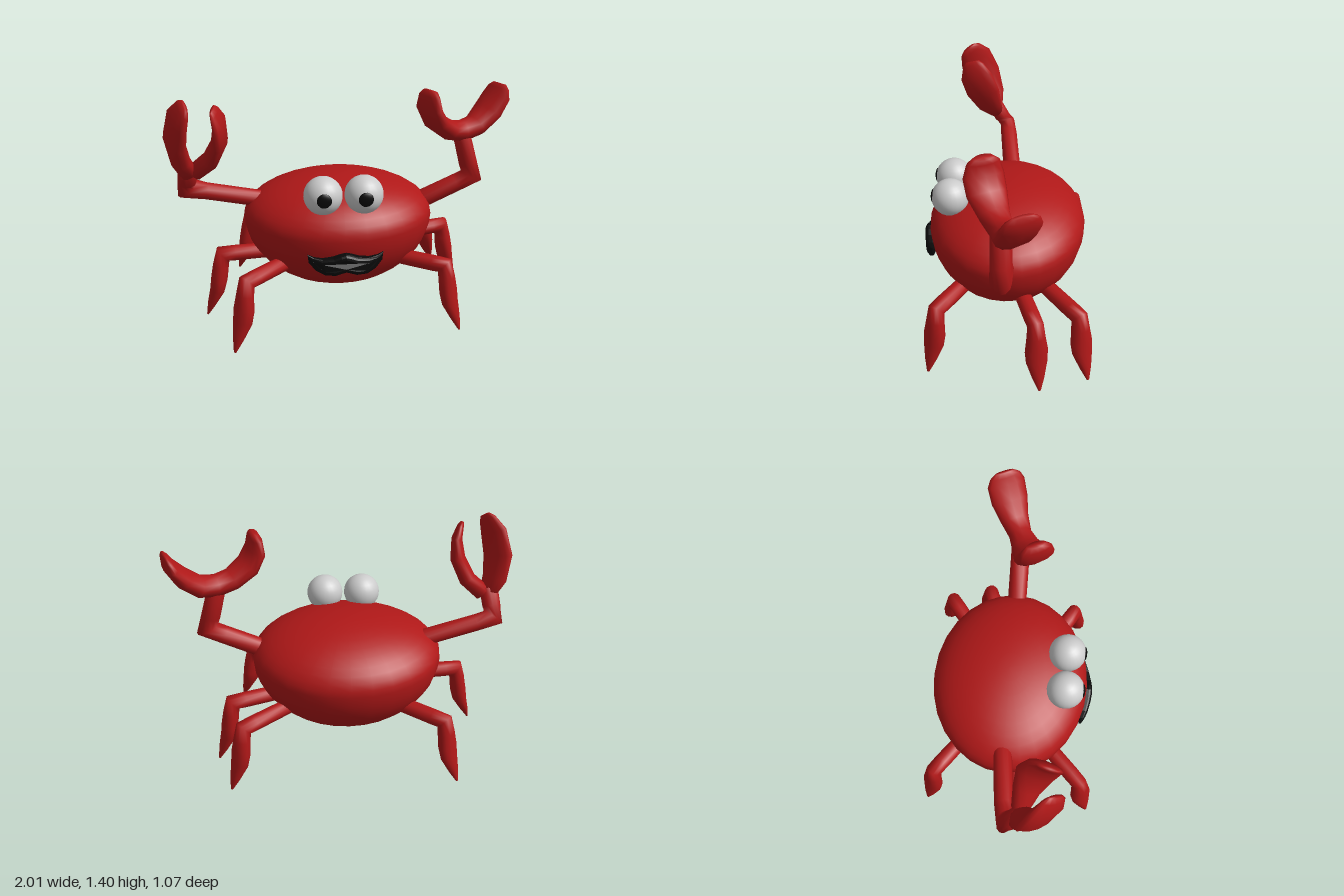
import * as THREE from 'three';
import { mergeVertices } from 'three/addons/utils/BufferGeometryUtils.js';

const mat = (color) => new THREE.MeshStandardMaterial({ color });

// Skin elliptical rings [x, y, z, a, b]; b runs along the side axis, a across it.
function loft(rings, side, n = 12) {
  const P = rings.map((r) => new THREE.Vector3(r[0], r[1], r[2]));
  const pos = [], idx = [], last = P.length - 1;
  P.forEach((p, i) => {
    const t = new THREE.Vector3();
    if (i > 0) t.add(p.clone().sub(P[i - 1]).normalize());
    if (i < last) t.add(P[i + 1].clone().sub(p).normalize());
    t.normalize();
    const v = side.clone().addScaledVector(t, -side.dot(t)).normalize();
    const u = v.clone().cross(t);
    for (let j = 0; j < n; j++) {
      const k = (j / n) * Math.PI * 2;
      const q = p.clone().addScaledVector(u, rings[i][3] * Math.cos(k)).addScaledVector(v, rings[i][4] * Math.sin(k));
      pos.push(q.x, q.y, q.z);
    }
  });
  pos.push(...P[0].toArray(), ...P[last].toArray());
  const c0 = P.length * n;
  for (let j = 0; j < n; j++) {
    const k = (j + 1) % n;
    for (let i = 0; i < last; i++) {
      const a = i * n + j, b = i * n + k;
      idx.push(a, b, a + n, b, b + n, a + n);
    }
    idx.push(c0, k, j, c0 + 1, last * n + j, last * n + k);
  }
  const g = new THREE.BufferGeometry();
  g.setAttribute('position', new THREE.Float32BufferAttribute(pos, 3));
  g.setIndex(idx);
  g.computeVertexNormals();
  return g;
}

export function createModel() {
  const model = new THREE.Group();
  model.name = 'crab';
  const red = mat(0xb01818), white = mat(0xcccccc), black = mat(0x0a0a0a);
  const add = (name, geometry, material) => {
    const m = new THREE.Mesh(geometry, material);
    m.name = name;
    model.add(m);
    return m;
  };
  const V = (x, y, z) => new THREE.Vector3(x, y, z);

  // Body: ball with a shallow dome above and a deep belly below
  let body = new THREE.SphereGeometry(1, 28, 20);
  body.deleteAttribute('uv');
  body.deleteAttribute('normal');
  const bp = body.attributes.position;
  for (let i = 0; i < bp.count; i++) {
    const y = bp.getY(i);
    bp.setXYZ(i, bp.getX(i) * 0.567 - 0.022, 0.62 + y * (y > 0 ? 0.24 : 0.44), bp.getZ(i) * 0.47 - 0.02);
  }
  body = mergeVertices(body, 1e-4);
  body.computeVertexNormals();
  add('body', body, red);

  // Eyes and pupils
  for (const [side, x] of [['right', -0.135], ['left', 0.095]]) {
    add(side + 'Eye', new THREE.SphereGeometry(0.11, 24, 16), white).position.set(x, 0.853, 0.31);
    const pupil = add(side + 'Pupil', new THREE.SphereGeometry(0.043, 20, 12), black);
    pupil.position.set(x, 0.858, 0.407);
    pupil.scale.z = 0.38;
  }

  // Moustache: half outline mirrored, thinning to the ends
  const half = [[0, 0.56], [0.03, 0.552], [0.07, 0.535], [0.13, 0.525], [0.18, 0.532], [0.213, 0.547],
    [0.208, 0.5], [0.17, 0.455], [0.12, 0.43], [0.06, 0.43], [0, 0.45]];
  const outline = [...half, ...half.slice(1, -1).reverse().map(([x, y]) => [-x, y])];
  const moustache = new THREE.ExtrudeGeometry(new THREE.Shape(outline.map(([x, y]) => new THREE.Vector2(x, y))),
    { depth: 0.6, bevelEnabled: true, bevelThickness: 0.4, bevelSize: 0.025, bevelOffset: -0.025, bevelSegments: 3 });
  const mp = moustache.attributes.position;
  for (let i = 0; i < mp.count; i++) {
    const x = mp.getX(i);
    const f = THREE.MathUtils.clamp((mp.getZ(i) + 0.4) / 1.4, 0, 1);
    mp.setXYZ(i, x - 0.02, mp.getY(i), 0.415 + f * 0.075 * (1 - 0.8 * (x / 0.215) ** 2));
  }
  moustache.computeVertexNormals();
  add('moustache', moustache, black);

  // Legs: foot x, z and outward direction; the profile is [outward offset from foot, y, a, b]
  const legProfile = [[-0.42, 0.405, 0.045, 0.048], [-0.19, 0.404, 0.046, 0.05], [-0.118, 0.403, 0.056, 0.048],
    [-0.1, 0.33, 0.048, 0.055], [-0.085, 0.24, 0.05, 0.068], [-0.07, 0.17, 0.045, 0.064],
    [-0.03, 0.075, 0.026, 0.036], [0, 0, 0.006, 0.008]];
  const legs = {
    leftFrontLeg: [0.665, 0.415, 0.83, 0.5], leftMiddleLeg: [0.78, -0.24, 0.95, -0.3],
    leftBackLeg: [0.685, -0.52, 0.8, -0.6], rightFrontLeg: [-0.66, 0.525, -0.72, 0.69],
    rightMiddleLeg: [-0.84, 0.09, -0.99, 0.1], rightBackLeg: [-0.66, -0.52, -0.8, -0.6],
  };
  for (const [name, [x, z, dx, dz]] of Object.entries(legs)) {
    const rings = legProfile.map(([r, y, a, b]) => [x + dx * r, y, z + dz * r, a, b]);
    add(name, loft(rings, V(-dz, 0, dx)), red);
  }

  // Arms, bent at the elbow
  const front = V(0, 0, 1);
  add('leftArm', loft([[0.46, 0.655, -0.02, 0.055, 0.058], [0.7, 0.768, -0.02, 0.053, 0.058],
    [0.797, 0.815, -0.02, 0.07, 0.058], [0.77, 0.9, -0.02, 0.055, 0.058], [0.72, 1.08, -0.02, 0.052, 0.058]], front), red);
  add('rightArm', loft([[-0.46, 0.705, -0.03, 0.05, 0.055], [-0.8, 0.785, 0.005, 0.05, 0.053],
    [-0.91, 0.812, 0.02, 0.072, 0.05], [-0.903, 0.87, 0.06, 0.054, 0.05], [-0.885, 0.97, 0.11, 0.055, 0.05]], front), red);

  // Open claw: one crescent from tip to tip, turned about the wrist
  const open = [[0.5, 1.375, 0.025, 0.055], [0.493, 1.345, 0.032, 0.09], [0.495, 1.27, 0.045, 0.112],
    [0.54, 1.185, 0.055, 0.11], [0.63, 1.12, 0.06, 0.085], [0.72, 1.1, 0.065, 0.068], [0.81, 1.12, 0.062, 0.085],
    [0.89, 1.195, 0.055, 0.11], [0.945, 1.28, 0.04, 0.112], [0.958, 1.33, 0.025, 0.09], [0.965, 1.355, 0.012, 0.055]];
  add('leftClaw', loft(open.map(([x, y, a, b]) => [x, y, -0.02 - 0.45 * (x - 0.72), a, b]), V(0.42, 0, 0.91)), red);

  // Closed claw: two upright pincers leaning forward
  add('rightClawOuterPincer', loft([[-0.88, 0.93, 0.1, 0.05, 0.05], [-0.92, 1.02, 0.13, 0.055, 0.09],
    [-0.937, 1.15, 0.18, 0.05, 0.115], [-0.908, 1.28, 0.23, 0.04, 0.11], [-0.87, 1.35, 0.26, 0.025, 0.075],
    [-0.855, 1.372, 0.27, 0.012, 0.045]], V(0.45, -0.3, 0.84)), red);
  add('rightClawInnerPincer', loft([[-0.85, 0.94, 0.1, 0.05, 0.05], [-0.755, 1.02, 0.13, 0.05, 0.08],
    [-0.695, 1.14, 0.17, 0.045, 0.11], [-0.688, 1.25, 0.21, 0.032, 0.105], [-0.708, 1.32, 0.23, 0.02, 0.07],
    [-0.718, 1.342, 0.235, 0.01, 0.045]], V(-0.15, -0.3, 0.94)), red);

  return model;
}
